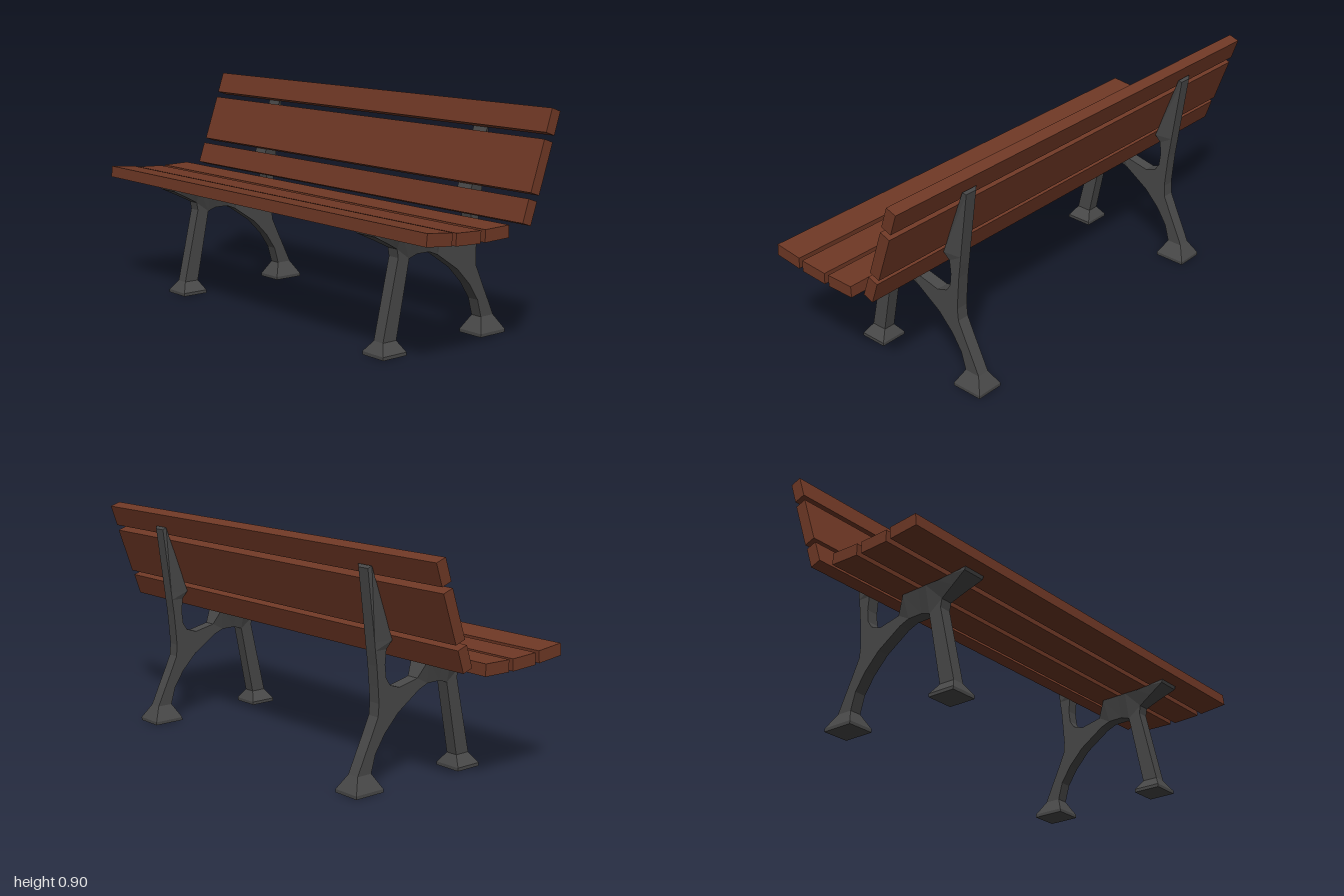
import * as THREE from 'three';

// Lofts a flat-faced bar through sections [zA, yA, halfWidthA, zB, yB, halfWidthB]
function loft(sections) {
  const rings = sections.map(([za, ya, wa, zb, yb, wb]) => [
    [wa, ya, za], [wb, yb, zb], [-wb, yb, zb], [-wa, ya, za],
  ]);
  const pos = [];
  const quad = (a, b, c, d) => pos.push(...a, ...b, ...c, ...a, ...c, ...d);
  for (let s = 0; s < rings.length - 1; s++) {
    const r = rings[s], n = rings[s + 1];
    for (let i = 0; i < 4; i++) {
      const j = (i + 1) % 4;
      quad(r[i], r[j], n[j], n[i]);
    }
  }
  const first = rings[0], last = rings[rings.length - 1];
  quad(first[3], first[2], first[1], first[0]);
  quad(last[0], last[1], last[2], last[3]);
  const geo = new THREE.BufferGeometry();
  geo.setAttribute('position', new THREE.Float32BufferAttribute(pos, 3));
  geo.computeVertexNormals();
  return geo;
}

const FOOT = 0.057, BAR = 0.025, PAD = 0.05, REST = 0.036;

// Front leg, from the foot up
const frontLeg = [
  [0.272, 0, FOOT, 0.158, 0, FOOT],
  [0.272, 0.013, FOOT, 0.158, 0.013, FOOT],
  [0.245, 0.054, BAR, 0.18, 0.054, BAR],
  [0.174, 0.36, BAR, 0.12, 0.35, BAR],
  [0.18, 0.393, BAR, 0.1, 0.38, BAR],
];

// Seat bracket and arch, from front to back (top edge, bottom edge)
const seatBracket = [
  [0.312, 0.47, PAD, 0.308, 0.457, PAD],
  [0.24, 0.462, PAD, 0.24, 0.424, 0.036],
  [0.18, 0.457, PAD, 0.18, 0.393, BAR],
  [0.12, 0.457, PAD, 0.12, 0.35, BAR],
  [0.08, 0.457, 0.047, 0.08, 0.363, BAR],
  [0.003, 0.457, 0.045, 0.018, 0.362, BAR],
  [-0.034, 0.39, BAR, -0.025, 0.345, BAR],
  [-0.125, 0.37, BAR, -0.13, 0.275, BAR],
  [-0.172, 0.386, BAR, -0.195, 0.24, BAR],
];

// Rear leg continuing into the backrest upright, from the foot up
const rearLeg = [
  [-0.228, 0, FOOT, -0.36, 0, FOOT],
  [-0.228, 0.013, FOOT, -0.36, 0.013, FOOT],
  [-0.26, 0.07, BAR, -0.326, 0.07, BAR],
  [-0.24, 0.14, BAR, -0.293, 0.14, BAR],
  [-0.195, 0.208, BAR, -0.26, 0.208, BAR],
  [-0.13, 0.275, BAR, -0.229, 0.275, BAR],
  [-0.125, 0.37, BAR, -0.225, 0.325, BAR],
  [-0.172, 0.386, BAR, -0.23, 0.388, BAR],
  [-0.191, 0.415, BAR, -0.233, 0.42, BAR],
  [-0.197, 0.465, BAR, -0.237, 0.465, BAR],
  [-0.192, 0.522, BAR, -0.245, 0.522, BAR],
  [-0.174, 0.555, REST, -0.249, 0.555, BAR],
  [-0.276, 0.835, REST, -0.285, 0.825, BAR],
];

// Planks: [name, y, z, height, depth, tilt]
const planks = [
  ['seatPlankFront', 0.495, 0.301, 0.047, 0.12, -0.1],
  ['seatPlankMiddle', 0.483, 0.163, 0.046, 0.12, -0.045],
  ['seatPlankRear', 0.482, 0.022, 0.046, 0.12, 0.02],
  ['backPlankLower', 0.538, -0.1425, 0.09, 0.045, -0.33],
  ['backPlankMiddle', 0.694, -0.1995, 0.197, 0.046, -0.335],
  ['backPlankUpper', 0.853, -0.254, 0.09, 0.046, -0.33],
];

export function createModel() {
  const wood = new THREE.MeshStandardMaterial({ color: 0x6f3825 });
  wood.name = 'stained wood';
  const iron = new THREE.MeshStandardMaterial({ color: 0x484848 });
  iron.name = 'cast iron';

  const bench = new THREE.Group();
  bench.name = 'bench';

  for (const [name, y, z, h, d, tilt] of planks) {
    const plank = new THREE.Mesh(new THREE.BoxGeometry(2, h, d), wood);
    plank.name = name;
    plank.position.set(0, y, z);
    plank.rotation.x = tilt;
    bench.add(plank);
  }

  // One cast frame near each end
  const parts = Object.entries({ frontLeg, seatBracket, rearLeg })
    .map(([name, sections]) => [name, loft(sections)]);
  for (const side of [1, -1]) {
    const frame = new THREE.Group();
    frame.name = side > 0 ? 'leftFrame' : 'rightFrame';
    for (const [name, geo] of parts) {
      const mesh = new THREE.Mesh(geo, iron);
      mesh.name = name;
      frame.add(mesh);
    }
    frame.position.x = side * 0.634;
    bench.add(frame);
  }
  return bench;
}
